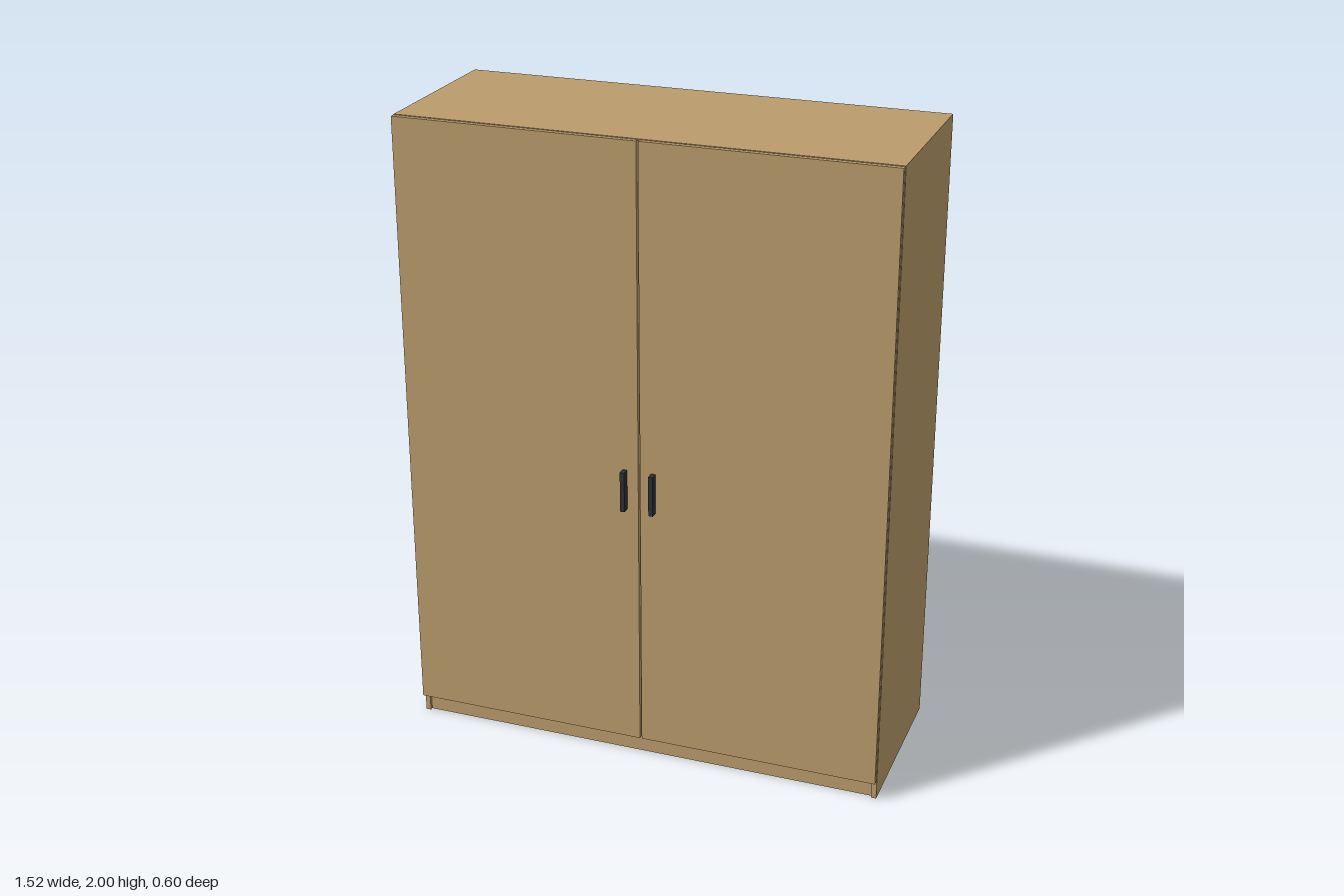
import * as THREE from 'three';

export function createModel() {
  const group = new THREE.Group();
  group.name = 'wardrobe';
  const wood = new THREE.MeshStandardMaterial({ color: 0xba9b6b });
  wood.name = 'light wood';
  const backing = new THREE.MeshStandardMaterial({ color: 0x8b673e });
  backing.name = 'brown backing';
  const metal = new THREE.MeshStandardMaterial({ color: 0x2b3036 });
  metal.name = 'dark metal';

  // Box given by its min and max corners
  function panel(name, material, [x0, y0, z0], [x1, y1, z1]) {
    const mesh = new THREE.Mesh(new THREE.BoxGeometry(x1 - x0, y1 - y0, z1 - z0), material);
    mesh.position.set((x0 + x1) / 2, (y0 + y1) / 2, (z0 + z1) / 2);
    mesh.name = name;
    group.add(mesh);
  }

  const W = 0.76, T = 0.016, back = -0.3, front = 0.255;
  const inner = W - T, floor = 0.063;

  // Carcass
  panel('topPanel', wood, [-inner, 2 - T, back], [inner, 2, front]);
  panel('bottomPanel', wood, [-inner, floor, back], [inner, floor + T, front]);
  panel('plinth', wood, [-inner, 0, front - 0.026], [inner, floor, front - 0.01]);
  panel('backPanel', backing, [-inner, floor + T, back + 0.01], [inner, 2 - T, back + 0.017]);

  // Mirrored sides, doors and handles
  for (const [side, s] of [['left', 1], ['right', -1]]) {
    const pair = (name, material, xa, xb, y0, y1, z0, z1) =>
      panel(side + name, material,
        [Math.min(s * xa, s * xb), y0, z0], [Math.max(s * xa, s * xb), y1, z1]);
    pair('SidePanel', wood, inner, W, 0, 2, back, front);
    pair('Door', wood, 0.003, W - 0.001, floor, 1.999, front + 0.004, 0.275);
    pair('Handle', metal, 0.038, 0.052, 0.86, 0.988, 0.275, 0.3);
  }
  return group;
}
